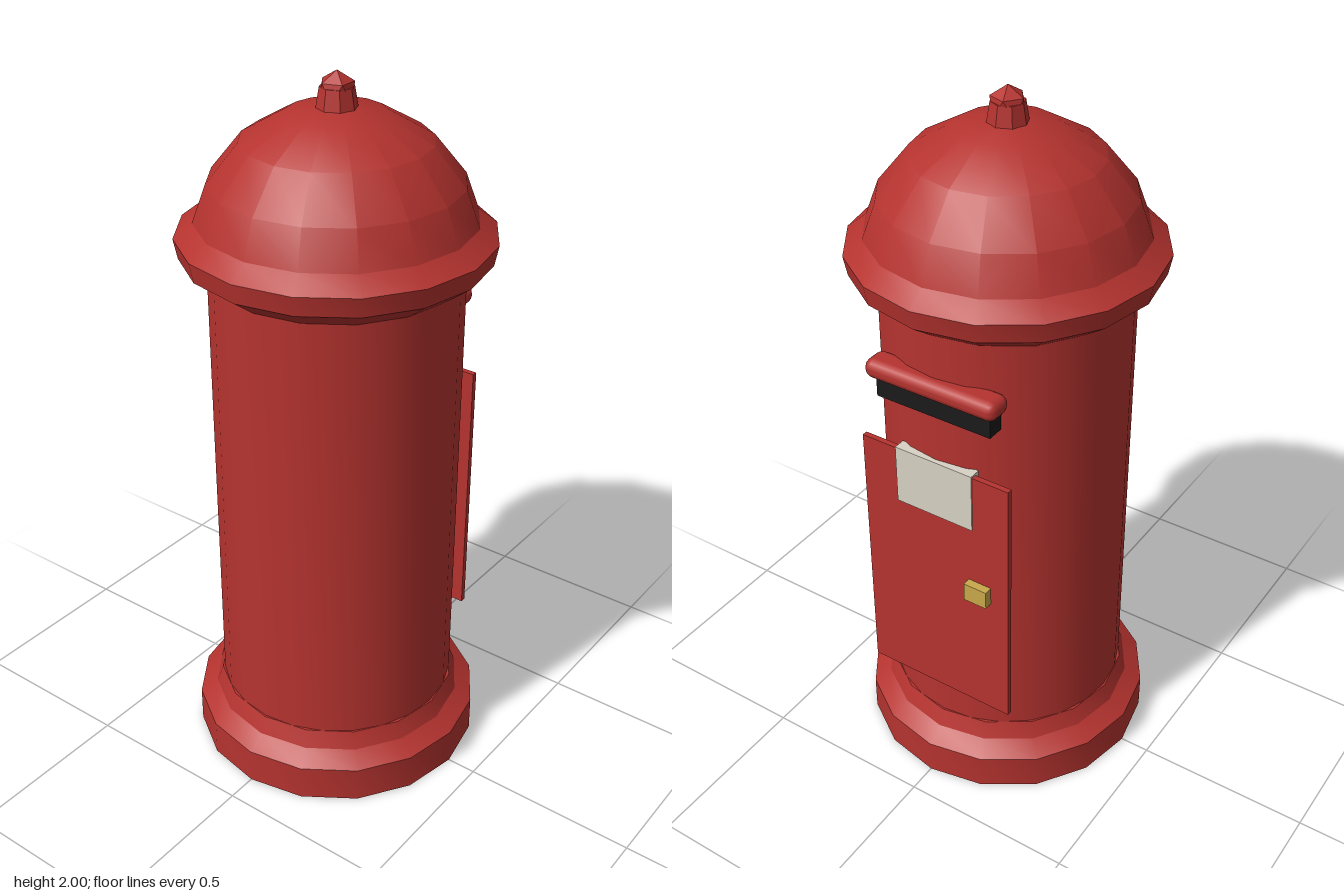
import * as THREE from 'three';
import { toCreasedNormals } from 'three/addons/utils/BufferGeometryUtils.js';
import { RoundedBoxGeometry } from 'three/addons/geometries/RoundedBoxGeometry.js';

const paint = (color, flatShading = false) => new THREE.MeshStandardMaterial({ color, flatShading });

export function createModel() {
  const group = new THREE.Group();
  const red = paint(0xb5332f);
  const redFlat = paint(0xb5332f, true);

  const add = (name, geometry, material, x = 0, y = 0, z = 0) => {
    const mesh = new THREE.Mesh(geometry, material);
    mesh.name = name;
    mesh.position.set(x, y, z);
    group.add(mesh);
    return mesh;
  };

  // Turned part from [radius, height] pairs, listed bottom to top
  const turned = (profile, sides) => toCreasedNormals(
    new THREE.LatheGeometry(profile.map(([r, y]) => new THREE.Vector2(r, y)), sides), 0.42);

  // Stepped foot
  add('base', turned([[0, 0], [0.415, 0], [0.415, 0.105], [0.365, 0.14], [0.346, 0.19], [0, 0.19]], 16), red);

  // Pillar
  add('body', turned([[0.34, 0.15], [0.34, 1.52]], 24), red);

  // Flared collar and domed roof
  add('roof', turned([
    [0, 1.475], [0.345, 1.475], [0.412, 1.525], [0.423, 1.58], [0.372, 1.62],
    [0.335, 1.72], [0.25, 1.825], [0.13, 1.895], [0, 1.915],
  ], 16), red);

  // Finial: short neck and faceted ball with a vertex on top
  add('finialNeck', new THREE.CylinderGeometry(0.045, 0.055, 0.06, 8), redFlat, 0, 1.93, 0);
  const ball = new THREE.IcosahedronGeometry(0.05, 0);
  ball.rotateZ(Math.atan(2 / (1 + Math.sqrt(5))));
  add('finialBall', ball, redFlat, 0, 1.95, 0);

  // Posting slot with rounded hood, on the back
  add('slotHood', new RoundedBoxGeometry(0.4, 0.055, 0.08, 2, 0.024), red, 0, 1.32, -0.331);
  add('slot', new THREE.BoxGeometry(0.35, 0.053, 0.05), paint(0x1a1a1a), 0, 1.26, -0.321);

  // Collection door, notice plate and latch
  add('door', new THREE.BoxGeometry(0.46, 0.79, 0.016), red, 0, 0.695, -0.341);
  add('noticePlate', new THREE.BoxGeometry(0.24, 0.175, 0.034), paint(0xd8d2c4), 0, 1.008, -0.336);
  add('latch', new THREE.BoxGeometry(0.07, 0.055, 0.03), paint(0xc8a84a), -0.14, 0.718, -0.358);

  return group;
}
